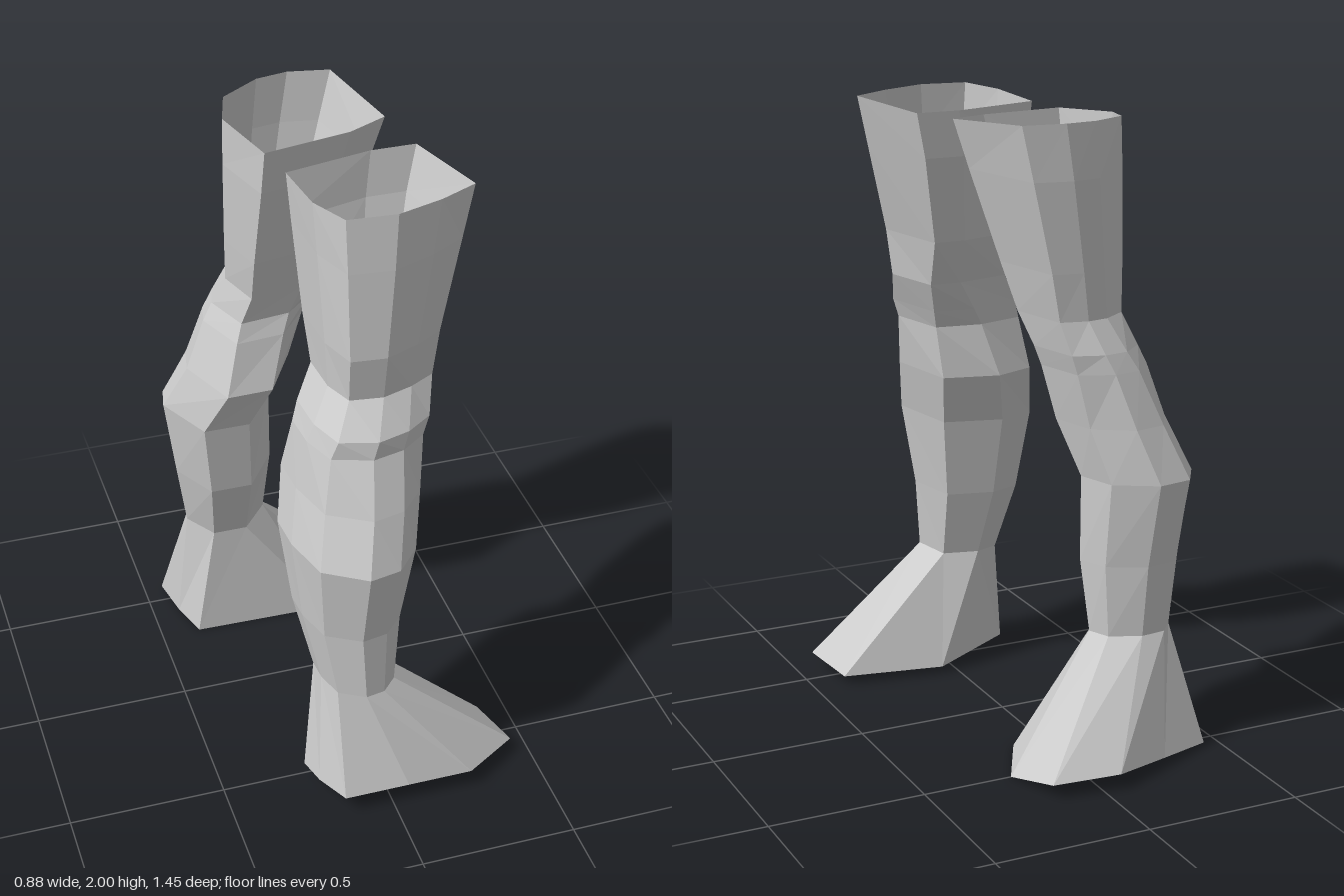
import * as THREE from 'three';

const material = new THREE.MeshStandardMaterial({ color: 0xcccccc, flatShading: true, side: THREE.DoubleSide });

// Ring heights: 0-3 thigh, 3-5 knee, 5-9 calf, 9 ankle
const heights = [2, 1.83, 1.55, 1.4, 1.3, 1.24, 1.07, 0.9, 0.63, 0.4];
// How far each ring has turned from the thigh outline to the calf outline
const blend = [0, 0, 0, 0.1, 0.4, 0.6, 0.9, 1, 1, 1];

// Outlines hold [u, v] across each ring's box; v runs from the inner side to the outer side.
// Boxes hold [x min, x max, z inner, z outer].
const frontLeg = {
  thigh: [[0, 0.15], [0.03, 0.65], [0.14, 0.97], [0.45, 1], [0.75, 0.88], [1, 0.73], [0.86, 0], [0.57, 0]],
  calf: [[0, 0.12], [0.02, 0.42], [0.14, 0.8], [0.5, 1], [0.78, 0.95], [1, 0.73], [0.88, 0.12], [0.35, 0]],
  boxes: [
    [-0.16, 0.33, 0.055, 0.485], [-0.15, 0.29, 0.07, 0.5], [-0.135, 0.22, 0.135, 0.515],
    [-0.125, 0.2, 0.2, 0.49], [-0.18, 0.17, 0.235, 0.57], [-0.2, 0.15, 0.255, 0.57],
    [-0.23, 0.13, 0.22, 0.64], [-0.26, 0.1, 0.28, 0.7], [-0.23, 0.06, 0.34, 0.65],
    [-0.18, 0.04, 0.41, 0.645]],
  sole: [[-0.23, 0.5], [-0.21, 0.6], [-0.16, 0.72], [0.05, 0.72], [0.26, 0.72], [0.44, 0.6], [0.4, 0.4], [0.06, 0.35]],
  soleY: z => 0.025 + 0.11 * (z - 0.35),
  flip: false,
};
const backLeg = {
  thigh: [[0.14, 0], [0, 0.5], [0.08, 0.78], [0.35, 0.96], [0.57, 1], [0.85, 0.95], [1, 0.24], [0.73, 0.11]],
  calf: [[0.25, 0], [0, 0.49], [0.05, 0.7], [0.22, 0.95], [0.53, 1], [0.89, 0.81], [1, 0.49], [0.67, 0]],
  boxes: [
    [-0.25, 0.225, -0.02, -0.475], [-0.25, 0.18, -0.04, -0.475], [-0.245, 0.1, -0.11, -0.46],
    [-0.24, 0.06, -0.155, -0.45], [-0.28, 0.03, -0.18, -0.49], [-0.31, 0.01, -0.16, -0.505],
    [-0.37, -0.03, -0.12, -0.545], [-0.44, -0.08, -0.2, -0.59], [-0.405, -0.08, -0.235, -0.55],
    [-0.37, -0.1, -0.31, -0.53]],
  sole: [[-0.37, -0.3], [-0.41, -0.43], [-0.44, -0.56], [-0.25, -0.645], [-0.05, -0.73], [0.165, -0.7], [0.21, -0.5], [0.1, -0.29]],
  soleY: z => 0.05 * Math.max(0, (-z - 0.5) / 0.22),
  flip: true,
};

// Cross-sections from the open rim down to the sole
function makeRings({ thigh, calf, boxes, sole, soleY }) {
  const { lerp } = THREE.MathUtils;
  const rings = boxes.map(([x0, x1, z0, z1], k) => thigh.map((t, i) => {
    const u = lerp(t[0], calf[i][0], blend[k]);
    const v = lerp(t[1], calf[i][1], blend[k]);
    const dip = k === 0 ? 0.025 * (1 - v) : 0;
    return [lerp(x0, x1, u), heights[k] - dip, lerp(z0, z1, v)];
  }));
  rings.push(sole.map(([x, z]) => [x, soleY(z), z]));
  return rings;
}

// Skin a run of rings, optionally closing the bottom with a fan
function loft(name, rings, flip, closed) {
  const n = rings[0].length;
  const positions = rings.flat(2);
  const index = [];
  const tri = (a, b, c) => index.push(...(flip ? [a, c, b] : [a, b, c]));
  for (let k = 0; k < rings.length - 1; k++) {
    for (let i = 0; i < n; i++) {
      const a = k * n + i, b = k * n + (i + 1) % n;
      tri(a, a + n, b + n);
      tri(a, b + n, b);
    }
  }
  if (closed) {
    const last = rings[rings.length - 1];
    const base = (rings.length - 1) * n;
    const centre = [0, 1, 2].map(c => last.reduce((sum, p) => sum + p[c], 0) / n);
    positions.push(...centre);
    for (let i = 0; i < n; i++) tri(base + i, base + n, base + (i + 1) % n);
  }
  const geometry = new THREE.BufferGeometry();
  geometry.setAttribute('position', new THREE.Float32BufferAttribute(positions, 3));
  geometry.setIndex(index);
  geometry.computeVertexNormals();
  const mesh = new THREE.Mesh(geometry, material);
  mesh.name = name;
  return mesh;
}

function makeLeg(name, spec) {
  const rings = makeRings(spec);
  const leg = new THREE.Group();
  leg.name = name;
  leg.add(
    loft('thigh', rings.slice(0, 4), spec.flip, false),
    loft('knee', rings.slice(3, 6), spec.flip, false),
    loft('calf', rings.slice(5, 10), spec.flip, false),
    loft('foot', rings.slice(9), spec.flip, true),
  );
  return leg;
}

export function createModel() {
  const model = new THREE.Group();
  model.name = 'legs';
  model.add(makeLeg('frontLeg', frontLeg), makeLeg('backLeg', backLeg));
  return model;
}
